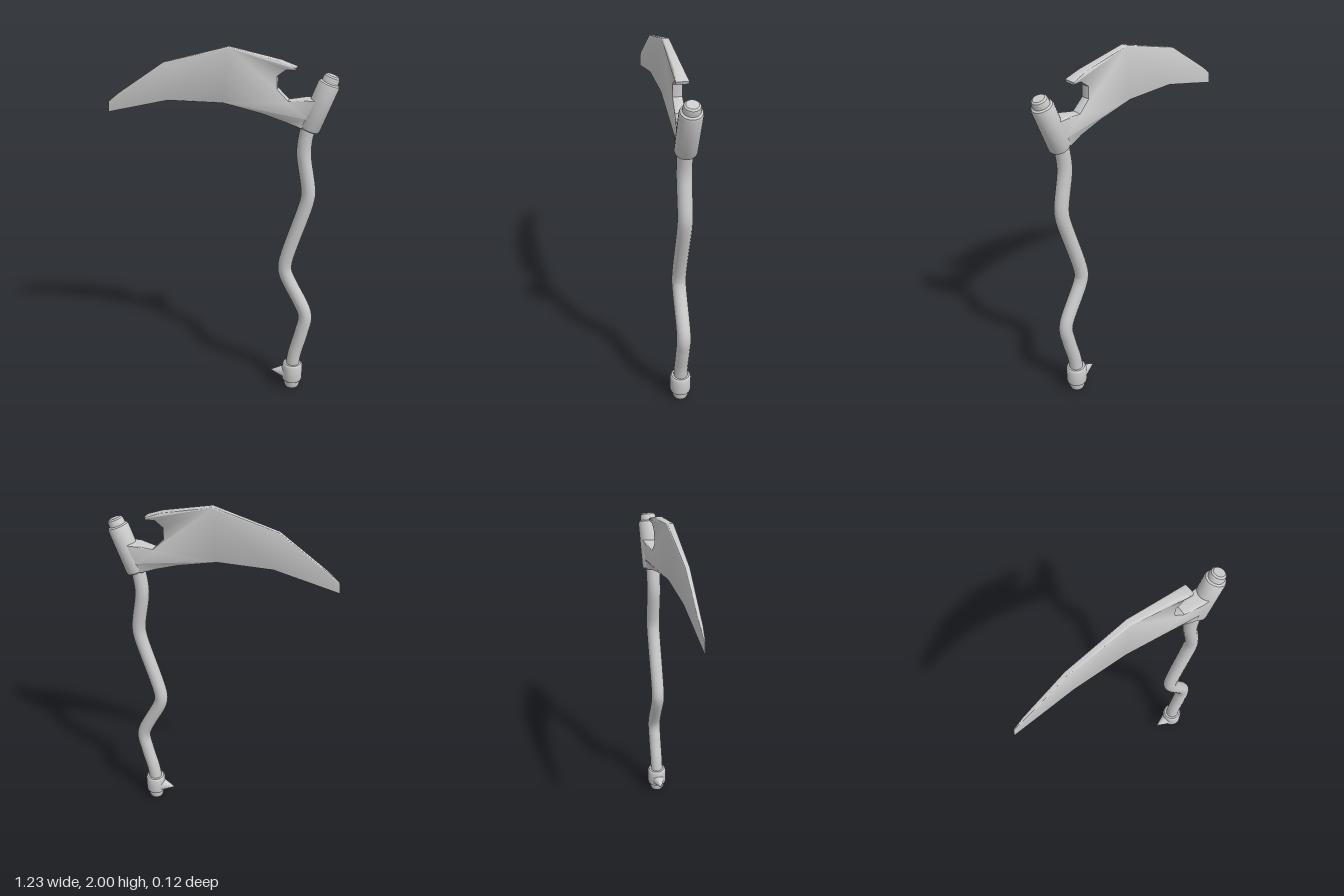
import * as THREE from 'three';
import { toCreasedNormals } from 'three/addons/utils/BufferGeometryUtils.js';

const material = new THREE.MeshStandardMaterial({ color: 0xcccccc });

function addMesh(parent, name, geometry) {
  const mesh = new THREE.Mesh(geometry, material);
  mesh.name = name;
  parent.add(mesh);
  return mesh;
}

// Turned part from [radius, height] pairs, listed bottom to top
function turned(profile) {
  const points = profile.map(([r, y]) => new THREE.Vector2(r, y));
  return toCreasedNormals(new THREE.LatheGeometry(points, 24), 0.6);
}

// Crooked shaft: straight runs joined by short rounded bends
function shaftGeometry() {
  const knots = [[0.43, 0.1], [0.44, 0.22], [0.475, 0.36], [0.5, 0.49], [0.36, 0.775],
    [0.483, 1.22], [0.442, 1.47], [0.465, 1.63]].map(([x, y]) => new THREE.Vector3(x, y, 0));
  const path = [knots[0]];
  for (let i = 1; i < knots.length - 1; i++) {
    for (const other of [knots[i - 1], knots[i + 1]]) {
      const step = other.clone().sub(knots[i]).setLength(0.03);
      path.push(knots[i].clone().add(step));
    }
  }
  path.push(knots[knots.length - 1]);
  const curve = new THREE.CatmullRomCurve3(path, false, 'centripetal');
  return new THREE.TubeGeometry(curve, 120, 0.039, 16);
}

// Half thickness of the blade: thin at the tip, flared at the neck
function halfThickness(x) {
  const stops = [[-0.63, 0.003], [-0.56, 0.009], [0, 0.018], [0.35, 0.027], [0.46, 0.048], [1, 0.048]];
  const i = Math.max(1, stops.findIndex(([sx]) => x <= sx));
  const [x0, t0] = stops[i - 1];
  const [x1, t1] = stops[i];
  return THREE.MathUtils.mapLinear(Math.max(x, x0), x0, x1, t0, t1);
}

// Bevelled blade with a hooked notch behind the neck
function bladeGeometry() {
  const outline = [[-0.622, 1.626], [-0.283, 1.706], [0.013, 1.706], [0.225, 1.659], [0.35, 1.62],
    [0.43, 1.592], [0.49, 1.64], [0.52, 1.75], [0.45, 1.752], [0.357, 1.738], [0.299, 1.796],
    [0.299, 1.859], [0.341, 1.891], [0.389, 1.891], [0.394, 1.907], [0.31, 1.939], [0.04, 1.998],
    [-0.304, 1.907], [-0.558, 1.733], [-0.616, 1.685]];
  const shape = new THREE.Shape(outline.map(([x, y]) => new THREE.Vector2(x, y)));
  const bevel = 0.007;
  const geometry = new THREE.ExtrudeGeometry(shape, {
    depth: 1, bevelEnabled: true, bevelThickness: 0.5, bevelSize: bevel, bevelOffset: -bevel, bevelSegments: 3,
  });
  const p = geometry.attributes.position;
  for (let i = 0; i < p.count; i++) p.setZ(i, (p.getZ(i) - 0.5) * halfThickness(p.getX(i)));
  return toCreasedNormals(geometry, 0.6);
}

export function createModel() {
  const model = new THREE.Group();
  model.name = 'scythe';

  addMesh(model, 'shaft', shaftGeometry());
  addMesh(model, 'blade', bladeGeometry());

  // Tilted socket holding the blade, with a rounded plug on top
  const head = new THREE.Group();
  head.name = 'head';
  head.position.set(0.465, 1.585, 0);
  head.rotation.z = -0.365;
  model.add(head);
  addMesh(head, 'socket', turned([[0, 0], [0.046, 0], [0.053, 0.004], [0.057, 0.014],
    [0.057, 0.25], [0.053, 0.262], [0.044, 0.268], [0, 0.268]]));
  addMesh(head, 'topPlug', turned([[0, 0.24], [0.043, 0.24], [0.043, 0.286], [0.039, 0.299],
    [0.03, 0.306], [0, 0.306]]));

  // Base ring, end cap and side spike
  const base = new THREE.Group();
  base.name = 'base';
  base.position.x = 0.434;
  model.add(base);
  addMesh(base, 'baseRing', turned([[0, 0.05], [0.05, 0.05], [0.057, 0.057], [0.059, 0.066],
    [0.059, 0.15], [0.057, 0.159], [0.05, 0.166], [0, 0.166]]));
  addMesh(base, 'endCap', turned([[0, 0], [0.03, 0], [0.039, 0.007], [0.045, 0.022], [0.045, 0.06], [0, 0.06]]));
  const spike = addMesh(base, 'spike', new THREE.ConeGeometry(0.046, 0.1, 16));
  spike.rotation.z = Math.PI / 2;
  spike.position.set(-0.08, 0.098, 0);

  return model;
}
